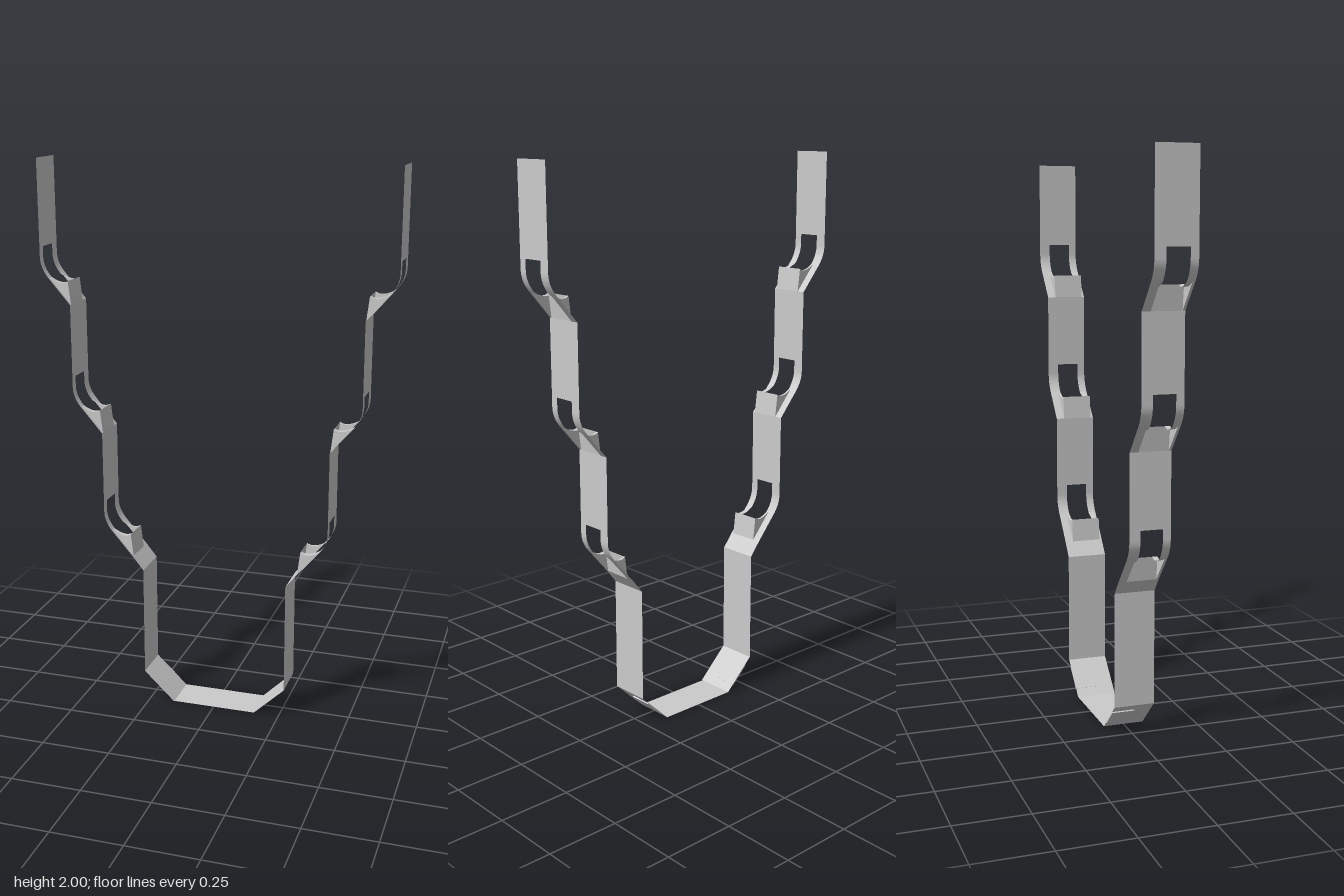
import * as THREE from 'three';

const material = new THREE.MeshStandardMaterial({ color: 0xcccccc, side: THREE.DoubleSide });
const EDGE = 0.073;            // half width of the strap
const SLOT = [-0.034, 0.045];  // z limits of the slots
const BOX = [-0.043, 0.064];   // z limits of the pressed pockets
const STEP = [0.109, 0.4625];  // offset from one step to the next

function addMesh(parent, name, geometry) {
  const mesh = new THREE.Mesh(geometry, material);
  mesh.name = name;
  parent.add(mesh);
  return mesh;
}

// Sheet that follows an x-y path and spans z0..z1
function ribbon(parent, name, path, z0, z1, smooth = false) {
  const positions = [], index = [];
  path.forEach(([x, y], i) => {
    positions.push(x, y, z0, x, y, z1);
    if (i) {
      const a = 2 * i - 2;
      index.push(a, a + 1, a + 2, a + 1, a + 3, a + 2);
    }
  });
  let geometry = new THREE.BufferGeometry();
  geometry.setAttribute('position', new THREE.Float32BufferAttribute(positions, 3));
  geometry.setIndex(index);
  if (!smooth) geometry = geometry.toNonIndexed();
  geometry.computeVertexNormals();
  return addMesh(parent, name, geometry);
}

function curve(a, b, c, n = 10) {
  return new THREE.QuadraticBezierCurve(...[a, b, c].map(p => new THREE.Vector2(...p)))
    .getPoints(n).map(p => [p.x, p.y]);
}

// One step: sloped rails, pocket, slotted bend and the upright above it
function createStep(top) {
  const step = new THREE.Group();
  const slopeEnd = [0.08, 0.093], x = STEP[0];
  const bend = curve(slopeEnd, [x, 0.127], [x, 0.165]);
  const dish = curve([0.01, 0.083], [0.035, 0.065], slopeEnd);

  // Rails on both sides of the pocket and the slot
  for (const [end, box, slot] of [[-EDGE, BOX[0], SLOT[0]], [EDGE, BOX[1], SLOT[1]]]) {
    const [a, b] = [Math.min(end, box), Math.max(end, box)];
    const [c, d] = [Math.min(end, slot), Math.max(end, slot)];
    ribbon(step, 'slopeRail', [[0, 0], slopeEnd], a, b);
    ribbon(step, 'bendRail', [...bend, [x, 0.2]], c, d, true);
    ribbon(step, 'pocketFlange', dish, Math.min(box, slot), Math.max(box, slot), true);

    // Cheek that closes the side of the pocket
    const shape = new THREE.Shape([[0, 0], ...dish.slice().reverse()].map(p => new THREE.Vector2(...p)));
    addMesh(step, 'pocketCheek', new THREE.ShapeGeometry(shape)).position.z = box;
  }
  ribbon(step, 'tongue', [[0, 0], [0.01, 0.083]], ...BOX);
  ribbon(step, 'upright', [[x, 0.2], [x, top]], -EDGE, EDGE);
  return step;
}

function createArm() {
  const arm = new THREE.Group();
  ribbon(arm, 'lowerArm', [[0.155, 0], [0.27, 0.11], [0.27, 0.518], [0.31, 0.568]], -EDGE, EDGE);

  // Small pad under the lower slope
  const pad = addMesh(arm, 'pad', new THREE.BoxGeometry(0.088, 0.005, 0.083));
  pad.position.set(0.214, 0.054, -0.0315);
  pad.rotation.z = Math.atan2(0.11, 0.115);

  for (let k = 0; k < 3; k++) {
    const y = 0.568 + k * STEP[1];
    const step = createStep(k < 2 ? STEP[1] : 2 - y);
    step.name = 'step' + (k + 1);
    step.position.set(0.31 + k * STEP[0], y, 0);
    arm.add(step);
  }
  return arm;
}

export function createModel() {
  const model = new THREE.Group();
  model.name = 'steppedStrap';
  ribbon(model, 'base', [[-0.155, 0], [0.155, 0]], -EDGE, EDGE - 0.004);
  for (const side of [1, -1]) {
    const arm = createArm();
    arm.name = side > 0 ? 'leftArm' : 'rightArm';
    arm.scale.x = side;
    model.add(arm);
  }
  return model;
}
